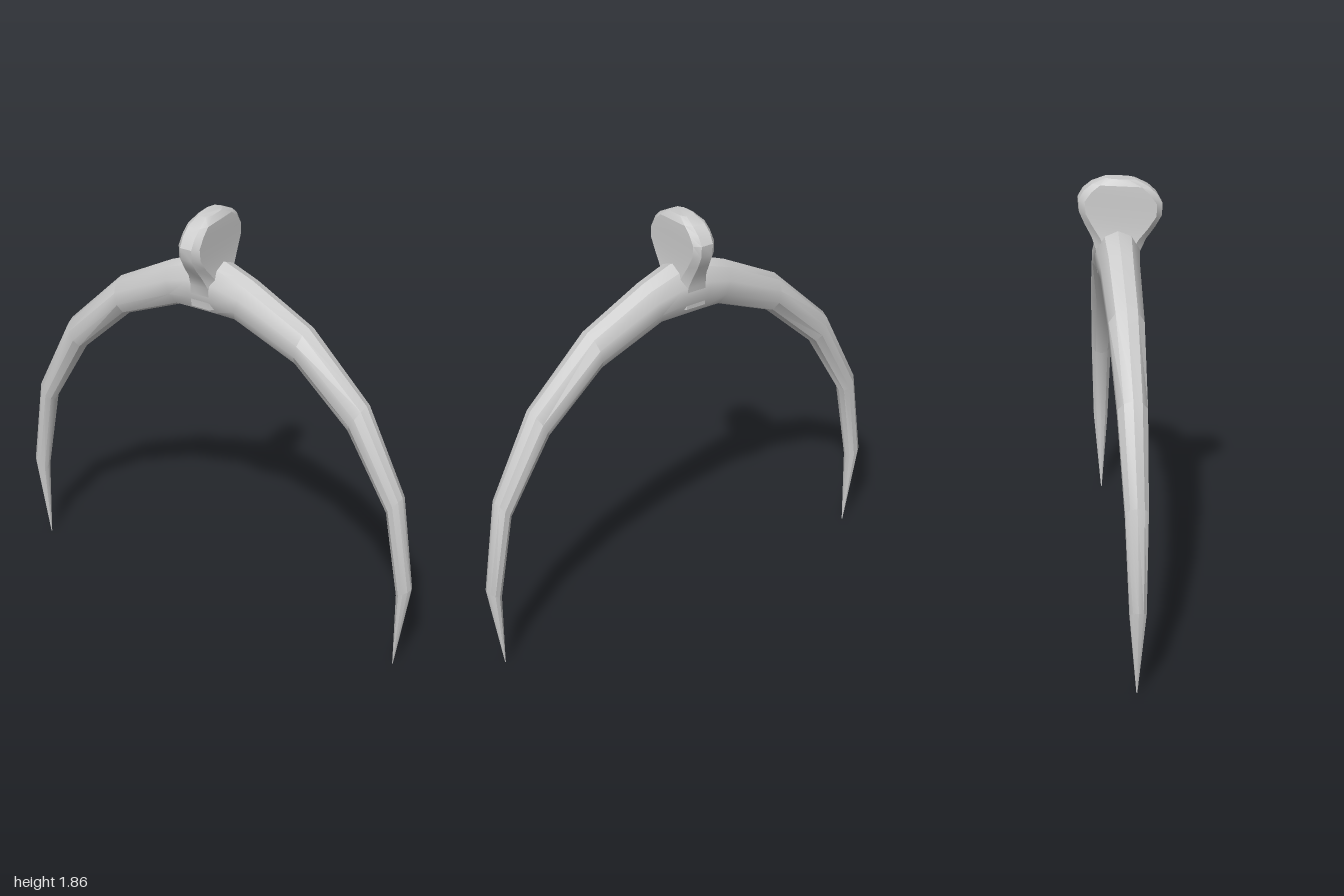
import * as THREE from 'three';
import { toCreasedNormals } from 'three/addons/utils/BufferGeometryUtils.js';

// Skin a list of equally sized point rings and close both ends.
function loft(rings, crease) {
  const n = rings[0].length, last = rings.length - 1, pos = [], index = [];
  rings.forEach(r => r.forEach(p => pos.push(p.x, p.y, p.z)));
  for (let i = 0; i < last; i++) {
    for (let j = 0; j < n; j++) {
      const k = (j + 1) % n, a = i * n, b = a + n;
      index.push(a + j, a + k, b + j, a + k, b + k, b + j);
    }
  }
  for (let j = 1; j < n - 1; j++) {
    index.push(0, j + 1, j, last * n, last * n + j, last * n + j + 1);
  }
  const g = new THREE.BufferGeometry();
  g.setAttribute('position', new THREE.Float32BufferAttribute(pos, 3));
  g.setIndex(index);
  return toCreasedNormals(g, crease);
}

// Elliptical section between an outer and an inner point of the arch
function archRing([ox, oy, ix, iy, halfZ]) {
  const sides = 10, ring = [];
  for (let j = 0; j < sides; j++) {
    const a = j / sides * Math.PI * 2, t = (1 + Math.cos(a)) / 2;
    ring.push(new THREE.Vector3(ix + (ox - ix) * t, iy + (oy - iy) * t, -0.013 + halfZ * Math.sin(a)));
  }
  return ring;
}

// Bevelled rectangular section of the upright crest
function crestRing([y, hx, hz, bevelX, bevelZ, cz]) {
  const x = hx - bevelX, z = hz - bevelZ;
  return [[hz, -x], [hz, x], [z, hx], [-z, hx], [-hz, x], [-hz, -x], [-z, -hx], [z, -hx]]
    .map(([pz, px]) => new THREE.Vector3(px, y - pz * 0.07, pz + cz));
}

export function createModel() {
  const group = new THREE.Group();
  const material = new THREE.MeshStandardMaterial({ color: 0xcccccc });
  const add = (name, geometry) => {
    const mesh = new THREE.Mesh(geometry, material);
    mesh.name = name;
    group.add(mesh);
  };

  // Arch: outer x, y, inner x, y, half depth, from the crown to one tip
  const half = [
    [0.07, 1.645, 0.05, 1.41, 0.094],
    [0.2, 1.595, 0.14, 1.41, 0.084],
    [0.47, 1.455, 0.43, 1.29, 0.075],
    [0.75, 1.185, 0.68, 1.06, 0.062],
    [0.935, 0.82, 0.87, 0.74, 0.048],
    [1.0, 0.4, 0.935, 0.36, 0.035],
    [0.937, 0, 0.934, 0, 0.002],
  ];
  const mirrored = half.map(([ox, oy, ix, iy, z]) => [-ox, oy, -ix, iy, z]).reverse();
  add('forkedArch', loft([...mirrored, ...half].map(archRing), 0.6));

  // Crest: height, half width, half depth, bevels, depth offset
  const crest = [
    [1.46, 0.075, 0.084, 0.03, 0.04, -0.013],
    [1.56, 0.073, 0.092, 0.03, 0.04, -0.012],
    [1.61, 0.062, 0.113, 0.03, 0.035, -0.008],
    [1.66, 0.056, 0.145, 0.028, 0.03, -0.003],
    [1.71, 0.053, 0.17, 0.026, 0.025, 0],
    [1.76, 0.051, 0.173, 0.024, 0.025, 0],
    [1.8, 0.05, 0.15, 0.022, 0.03, 0],
    [1.83, 0.048, 0.115, 0.02, 0.03, 0],
    [1.855, 0.032, 0.06, 0.012, 0.03, 0],
  ];
  add('crest', loft(crest.map(crestRing), 0.5));
  return group;
}
